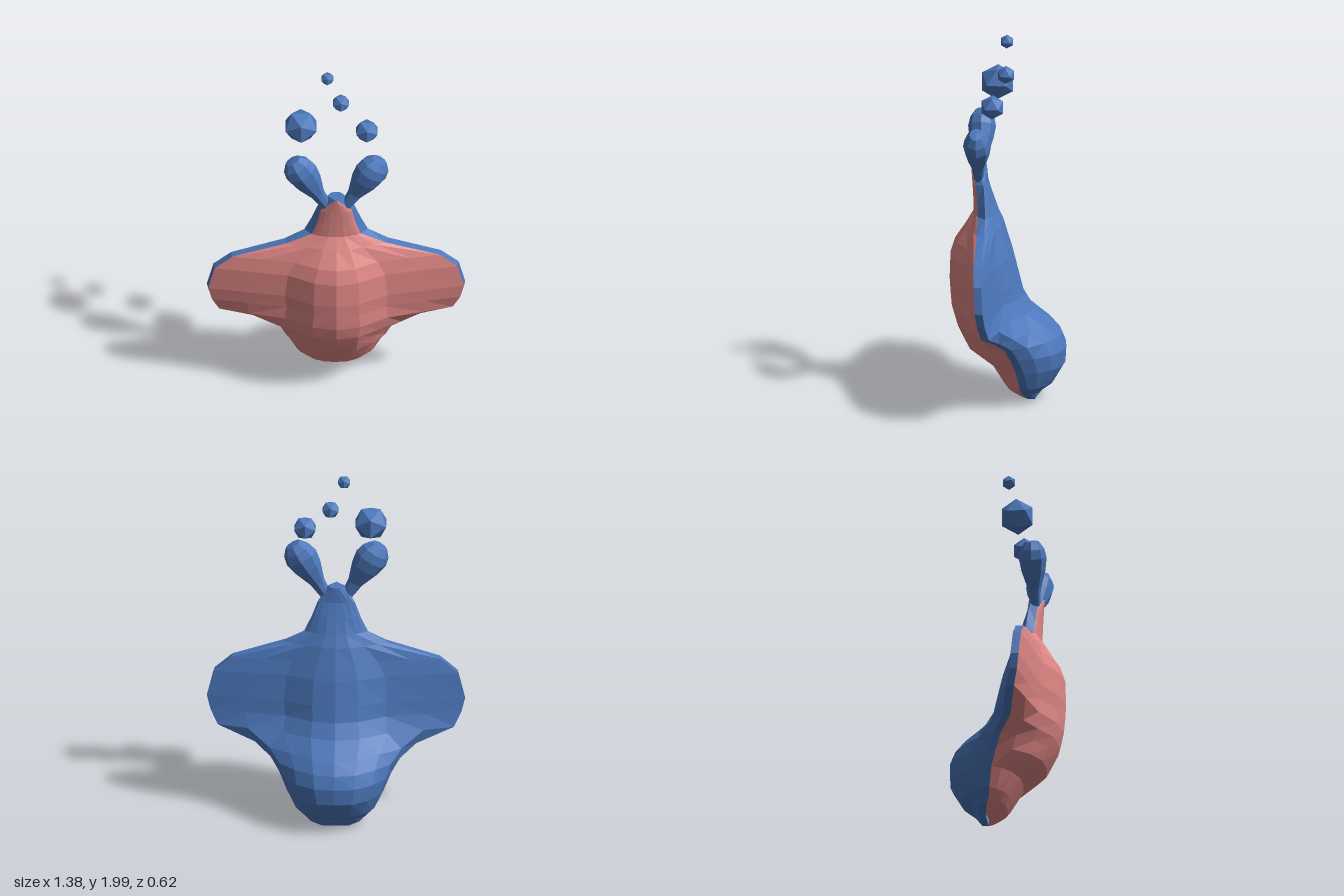
import * as THREE from 'three';

// Body sections: y, half width, front z, rim z, back z, belly width ratio, roundness
const rows = [
  [0.005, 0.07, -0.1, -0.11, -0.145, 0.95, 1],
  [0.03, 0.13, -0.05, -0.1, -0.165, 0.98, 1],
  [0.06, 0.165, 0.0, -0.085, -0.19, 0.98, 1],
  [0.1, 0.21, 0.025, -0.075, -0.245, 0.99, 1],
  [0.2, 0.26, 0.085, -0.06, -0.305, 0.99, 1],
  [0.29, 0.3, 0.21, -0.03, -0.31, 0.99, 1],
  [0.36, 0.345, 0.25, 0.0, -0.285, 0.99, 0.8],
  [0.42, 0.43, 0.28, 0.06, -0.235, 0.99, 0.55],
  [0.5, 0.63, 0.303, 0.1, -0.13, 0.99, 0.15],
  [0.58, 0.67, 0.31, 0.12, -0.085, 0.99, 0],
  [0.66, 0.69, 0.315, 0.13, -0.065, 0.99, 0],
  [0.8, 0.655, 0.31, 0.14, -0.03, 0.99, 0],
  [0.88, 0.56, 0.285, 0.145, -0.005, 0.99, 0],
  [0.97, 0.28, 0.225, 0.15, 0.025, 0.94, 0.5],
  [1.035, 0.17, 0.185, 0.155, 0.055, 0.77, 0.8],
  [1.12, 0.13, 0.187, 0.16, 0.085, 0.78, 1],
  [1.2, 0.1, 0.192, 0.168, 0.11, 0.85, 1],
  [1.285, 0.045, 0.2, 0.195, 0.115, 0.1, 1],
];

// Column positions and depth weights for the flat fins and the round parts
const finU = [0, 0.18, 0.4, 0.72, 1], finD = [1, 0.86, 0.42, 0.2, 0];
const bulbU = [0, 0.36, 0.68, 0.9, 1], bulbD = [1, 0.95, 0.7, 0.35, 0];

// Points across one section, from -x to +x
function arc(y, w, zEdge, zMid, k) {
  const out = [];
  for (let i = -4; i <= 4; i++) {
    const j = Math.abs(i);
    const u = THREE.MathUtils.lerp(finU[j], bulbU[j], k);
    const d = THREE.MathUtils.lerp(finD[j], bulbD[j], k);
    out.push([Math.sign(i) * u * w, y, zEdge + (zMid - zEdge) * d]);
  }
  return out;
}

// Joins section point lists into a flat-faced surface, mirrored about the middle
function skin(sections, capped) {
  const pos = [];
  const tri = (a, b, c) => pos.push(...a, ...b, ...c);
  const n = sections[0].length;
  for (let i = 0; i < sections.length - 1; i++) {
    for (let j = 0; j < n - 1; j++) {
      const a = sections[i][j], b = sections[i][j + 1];
      const c = sections[i + 1][j + 1], d = sections[i + 1][j];
      if (j < (n - 1) / 2) { tri(a, b, c); tri(a, c, d); }
      else { tri(a, b, d); tri(b, c, d); }
    }
  }
  if (capped) {
    const lo = sections[0], hi = sections[sections.length - 1];
    for (let j = 1; j < n - 1; j++) {
      tri(lo[0], lo[j + 1], lo[j]);
      tri(hi[0], hi[j], hi[j + 1]);
    }
  }
  const g = new THREE.BufferGeometry();
  g.setAttribute('position', new THREE.Float32BufferAttribute(pos, 3));
  g.computeVertexNormals();
  return g;
}

export function createModel() {
  const group = new THREE.Group();
  const blue = new THREE.MeshStandardMaterial({ name: 'blue skin', color: 0x4c78bc, flatShading: true, side: THREE.DoubleSide });
  const pink = new THREE.MeshStandardMaterial({ name: 'pink belly', color: 0xe08886, flatShading: true, side: THREE.DoubleSide });
  const add = (name, geometry, material) => {
    const mesh = new THREE.Mesh(geometry, material);
    mesh.name = name;
    group.add(mesh);
    return mesh;
  };

  // Belly: front surface
  add('belly', skin(rows.map(([y, w, zf, zr, , p, k]) => arc(y, w * p, zr, zf, k)), false), pink);

  // Back: rim band on both sides and the rounded rear
  add('back', skin(rows.map(([y, w, , zr, zb, p, k]) => {
    const rear = arc(y, w, Math.max(zr - 0.042, zb), zb, k).reverse();
    return [[w * p, y, zr], ...rear, [-w * p, y, zr]];
  }), true), blue);

  // Horns: club-shaped stalks leaning outwards
  const profile = [[0, -0.02], [0.03, 0], [0.042, 0.1], [0.078, 0.2], [0.09, 0.265], [0.078, 0.315], [0.045, 0.355], [0, 0.36]]
    .map(([r, t]) => new THREE.Vector2(r, t));
  for (const s of [1, -1]) {
    const horn = add(s > 0 ? 'leftHorn' : 'rightHorn', new THREE.LatheGeometry(profile, 8), blue);
    horn.position.set(s * 0.05, 1.22, 0.155);
    horn.rotation.z = -s * 0.54;
    horn.scale.z = 0.83;
  }

  // Floating droplets: x, y, z, radius
  [[-0.187, 1.695, 0.072, 0.097], [0.165, 1.66, 0.075, 0.067], [0.027, 1.8, 0.012, 0.05], [-0.045, 1.964, 0.012, 0.038]]
    .forEach(([x, y, z, r], i) => {
      add('droplet' + (i + 1), new THREE.IcosahedronGeometry(r, 0), blue).position.set(x, y, z);
    });
  return group;
}
